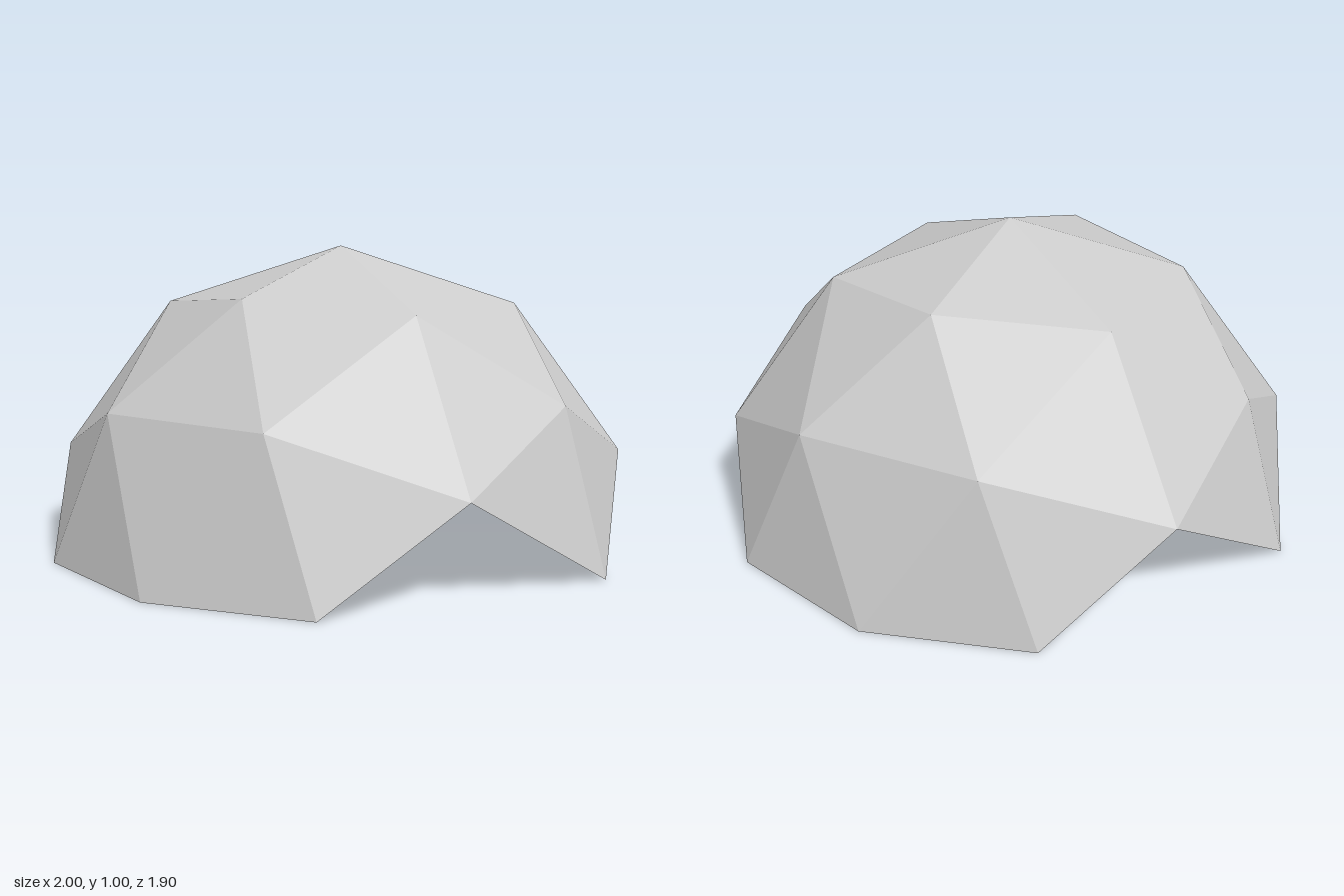
import * as THREE from 'three';

export function createModel() {
  const group = new THREE.Group();
  group.name = 'geodesicDome';

  const paleGrey = new THREE.MeshStandardMaterial({
    color: 0xcccccc, flatShading: true, side: THREE.DoubleSide,
  });
  paleGrey.name = 'paleGrey';

  // Twice-divided icosahedron, keeping only the whole triangles above the ground
  const sphere = new THREE.IcosahedronGeometry(1, 1).toNonIndexed?.() ?? null;
  const pos = sphere.getAttribute('position');
  const kept = [];
  for (let i = 0; i < pos.count; i += 3) {
    const corners = [i, i + 1, i + 2];
    if (corners.every((k) => pos.getY(k) > -1e-4)) {
      corners.forEach((k) => kept.push(pos.getX(k), Math.max(0, pos.getY(k)), pos.getZ(k)));
    }
  }

  // Open shell with four zigzag doorways, turned so two corners lie on the x axis
  const shell = new THREE.BufferGeometry();
  shell.setAttribute('position', new THREE.Float32BufferAttribute(kept, 3));
  shell.rotateY(Math.atan(2 / (1 + Math.sqrt(5))));
  shell.computeVertexNormals();

  const dome = new THREE.Mesh(shell, paleGrey);
  dome.name = 'domeShell';
  group.add(dome);
  return group;
}
